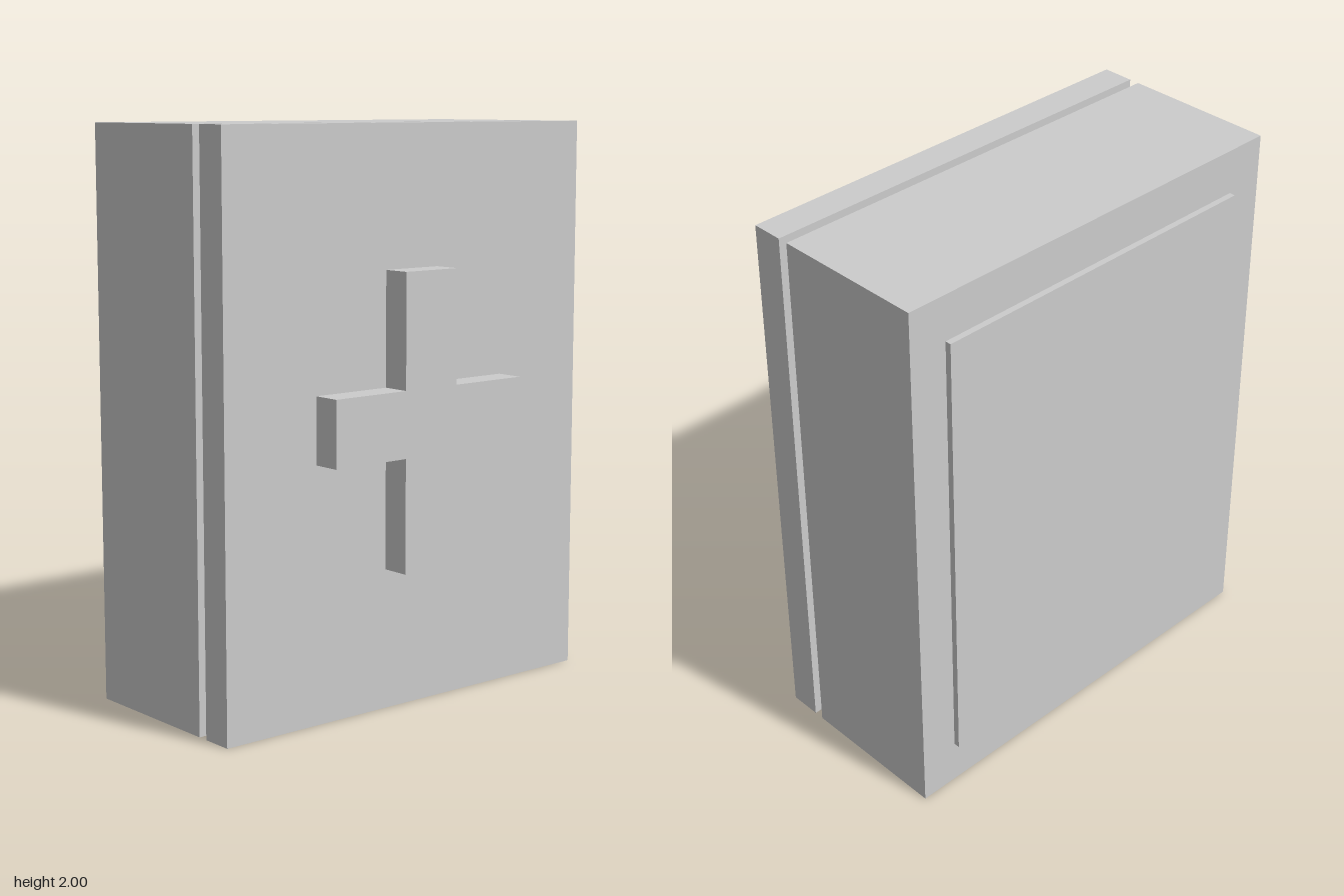
import * as THREE from 'three';

export function createModel() {
  const model = new THREE.Group();
  const material = new THREE.MeshStandardMaterial({ color: 0xcccccc, flatShading: true });

  // Box centred on x, given its width and its y and z ranges
  function slab(name, width, y0, y1, z0, z1) {
    const mesh = new THREE.Mesh(new THREE.BoxGeometry(width, y1 - y0, z1 - z0), material);
    mesh.name = name;
    mesh.position.set(0, (y0 + y1) / 2, (z0 + z1) / 2);
    model.add(mesh);
  }

  // Case body with a shallow raised panel on its front and back
  slab('caseBody', 1.585, 0, 2, -0.395, 0.163);
  slab('backPanel', 1.3, 0.167, 1.837, -0.417, -0.395);
  slab('innerPanel', 1.3, 0.167, 1.837, 0.163, 0.185);

  // Lid, separated from the body by a narrow gap
  slab('lid', 1.585, 0, 2, 0.2, 0.315);

  // Raised cross on the lid
  const t = 0.115, w = 0.417, h = 0.512;
  const outline = [
    [-t, -h], [t, -h], [t, -t], [w, -t], [w, t], [t, t],
    [t, h], [-t, h], [-t, t], [-w, t], [-w, -t], [-t, -t],
  ].map(([x, y]) => new THREE.Vector2(x, y));
  const cross = new THREE.Mesh(
    new THREE.ExtrudeGeometry(new THREE.Shape(outline), { depth: 0.102, bevelEnabled: false }),
    material
  );
  cross.name = 'cross';
  cross.position.set(0, 1.002, 0.315);
  model.add(cross);

  return model;
}
